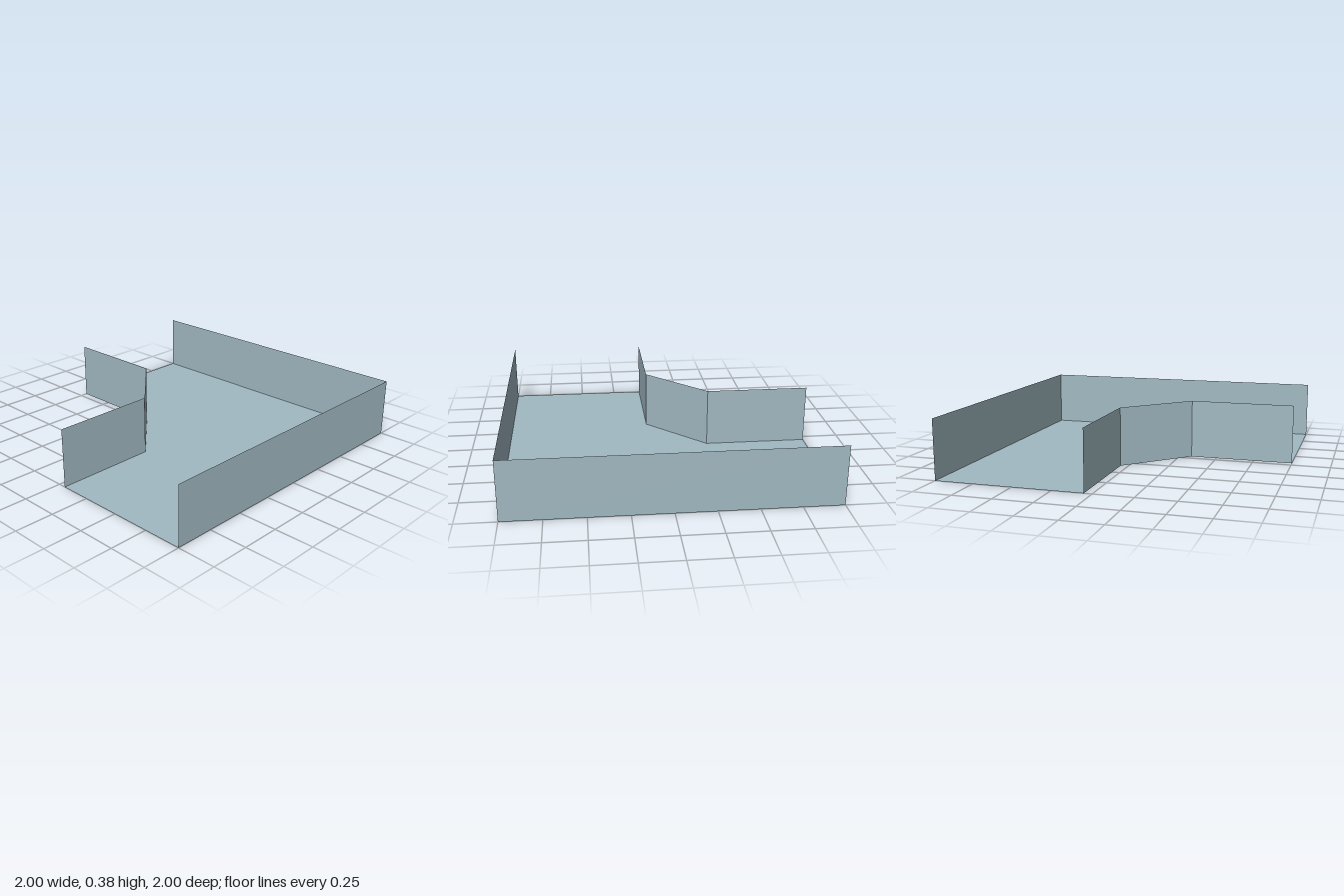
import * as THREE from 'three';

const HEIGHT = 0.38;

export function createModel() {
  const model = new THREE.Group();
  model.name = 'cornerTray';
  const sheetMetal = new THREE.MeshStandardMaterial({ color: 0xa2bac3, side: THREE.DoubleSide });
  sheetMetal.name = 'blue grey sheet metal';

  // Plan outlines as [x, z]: the outer bend and the chamfered inner bend
  const outer = [[-1, 1], [1, 1], [1, -1]];
  const inner = [[0.05, -1], [0.05, -0.33], [-0.33, 0.05], [-1, 0.05]];

  // Floor sheet, drawn in plan and laid flat
  const plan = new THREE.Shape([...outer, ...inner].map(([x, z]) => new THREE.Vector2(x, -z)));
  const floor = new THREE.Mesh(new THREE.ShapeGeometry(plan).rotateX(-Math.PI / 2), sheetMetal);
  floor.name = 'floor';
  model.add(floor);

  // Upright sheets, one along each segment of an outline
  function addWalls(name, path) {
    const group = new THREE.Group();
    group.name = name;
    for (let i = 0; i < path.length - 1; i++) {
      const [x0, z0] = path[i];
      const [x1, z1] = path[i + 1];
      const length = Math.hypot(x1 - x0, z1 - z0);
      const wall = new THREE.Mesh(new THREE.PlaneGeometry(length, HEIGHT), sheetMetal);
      wall.name = `${name}Panel${i + 1}`;
      wall.position.set((x0 + x1) / 2, HEIGHT / 2, (z0 + z1) / 2);
      wall.rotation.y = Math.atan2(z0 - z1, x1 - x0);
      group.add(wall);
    }
    model.add(group);
  }
  addWalls('outerWall', outer);
  addWalls('innerWall', inner);

  return model;
}
